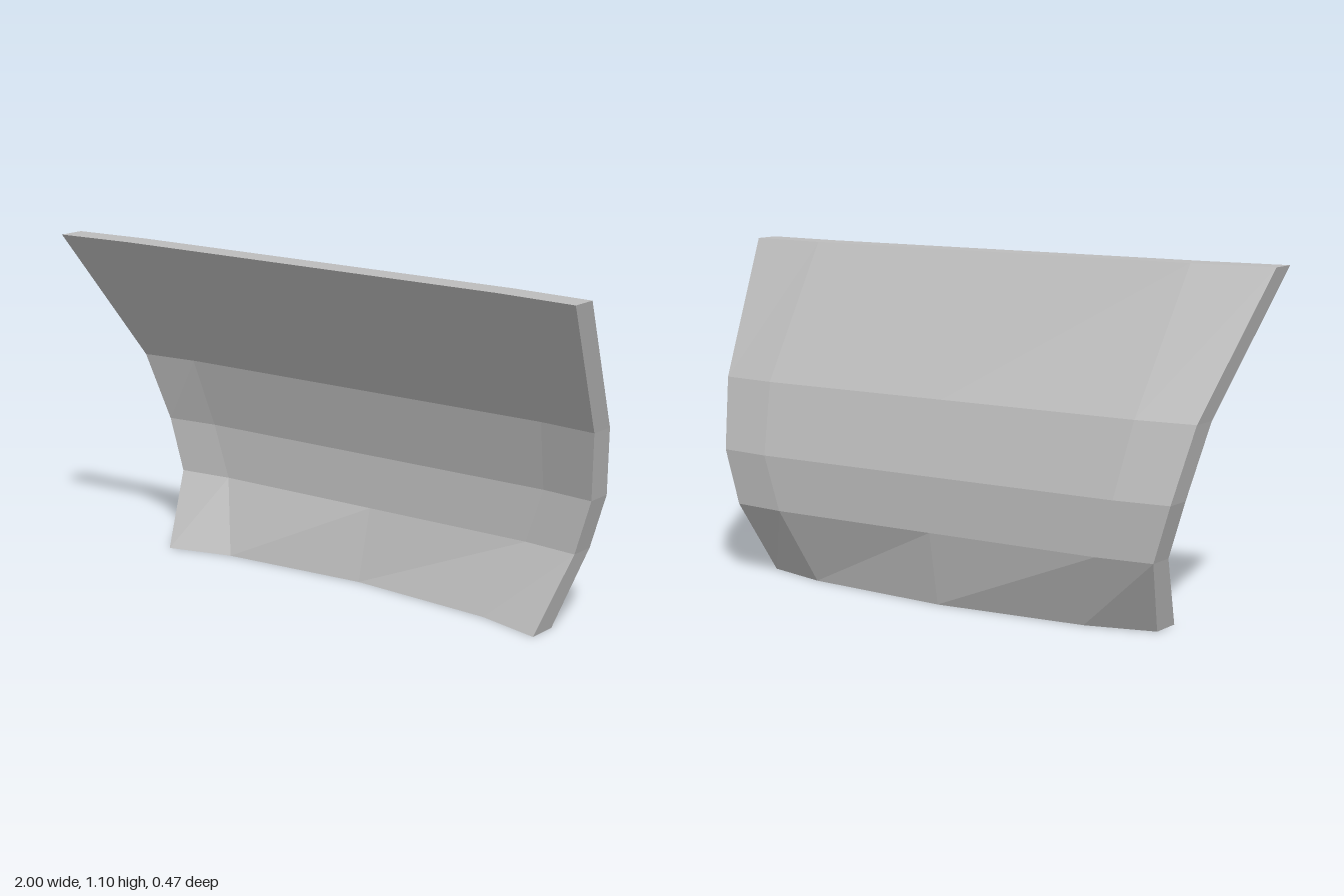
import * as THREE from 'three';

// One entry per height: y, half width, inner column x, front z at the end, inner and centre, thickness
const ROWS = [
  { y: 0, end: 0.745, inner: 0.52, z: [0.015, -0.045, -0.085], t: 0.105 },
  { y: 0.24, end: 0.8, inner: 0.61, z: [-0.125, -0.145, -0.145], t: 0.09 },
  { y: 0.42, end: 0.855, inner: 0.67, z: [-0.125, -0.145, -0.145], t: 0.09 },
  { y: 0.655, end: 0.9, inner: 0.7, z: [-0.055, -0.075, -0.075], t: 0.09 },
  { y: 1.1, end: 1.0, inner: 0.72, z: [0.235, 0.215, 0.215], t: 0.09 },
];

// Five points across a row, mirrored about the centre
function rowPoints(row, back) {
  const xs = [-row.end, -row.inner, 0, row.inner, row.end];
  return xs.map((x, i) => [x, row.y, row.z[2 - Math.abs(i - 2)] - (back ? row.t : 0)]);
}

function bladeGeometry() {
  const front = ROWS.map((r) => rowPoints(r, false));
  const back = ROWS.map((r) => rowPoints(r, true));
  const positions = [];
  const quad = (a, b, c, d) => positions.push(...a, ...b, ...c, ...a, ...c, ...d);
  const top = ROWS.length - 1;

  // Curved front and back skins
  for (let j = 0; j < top; j++) {
    for (let i = 0; i < 4; i++) {
      quad(front[j][i], front[j][i + 1], front[j + 1][i + 1], front[j + 1][i]);
      quad(back[j][i + 1], back[j][i], back[j + 1][i], back[j + 1][i + 1]);
    }
    // End caps
    quad(front[j][4], back[j][4], back[j + 1][4], front[j + 1][4]);
    quad(back[j][0], front[j][0], front[j + 1][0], back[j + 1][0]);
  }
  // Top and bottom edges
  for (let i = 0; i < 4; i++) {
    quad(front[top][i], front[top][i + 1], back[top][i + 1], back[top][i]);
    quad(back[0][i], back[0][i + 1], front[0][i + 1], front[0][i]);
  }

  const geometry = new THREE.BufferGeometry();
  geometry.setAttribute('position', new THREE.Float32BufferAttribute(positions, 3));
  geometry.computeVertexNormals(); // unshared corners keep every facet flat
  return geometry;
}

export function createModel() {
  const group = new THREE.Group();
  group.name = 'curvedBlade';
  const grey = new THREE.MeshStandardMaterial({ color: 0xbcbcbc });
  grey.name = 'lightGrey';
  const blade = new THREE.Mesh(bladeGeometry(), grey);
  blade.name = 'blade';
  group.add(blade);
  return group;
}
